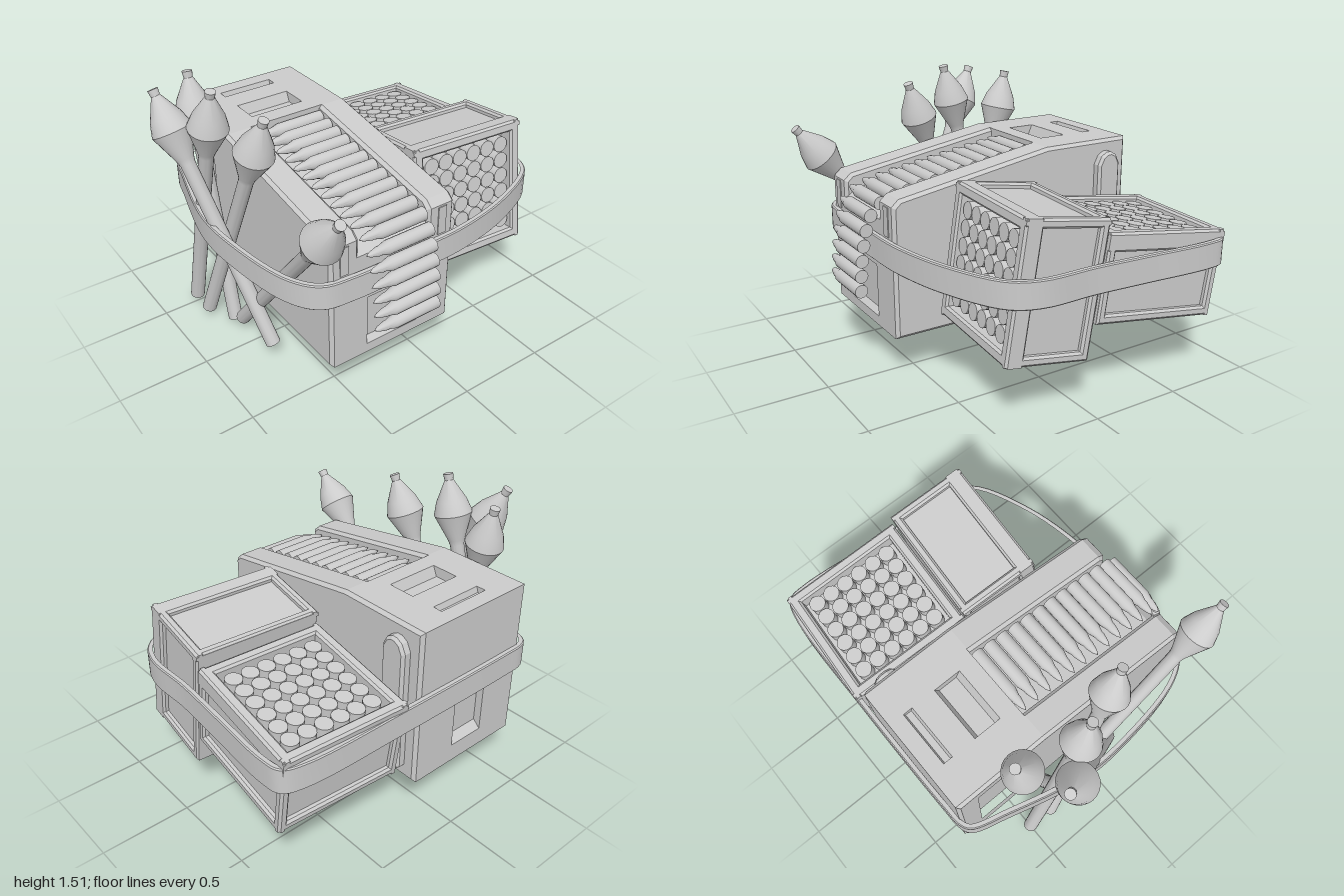
import * as THREE from 'three';
import { toCreasedNormals } from 'three/addons/utils/BufferGeometryUtils.js';

const V3 = (x, y, z) => new THREE.Vector3(x, y, z);
const mat = new THREE.MeshStandardMaterial({ color: 0xcccccc });

function add(parent, name, geometry) {
  const m = new THREE.Mesh(geometry, mat);
  m.name = name;
  parent.add(m);
  return m;
}

function bevelOptions(depth, b) {
  return {
    depth: depth - 2 * b, bevelEnabled: b > 0, bevelSize: b,
    bevelThickness: b, bevelOffset: -b, bevelSegments: 1, curveSegments: 8,
  };
}

// Slab with a side profile of [z, y] points, running from x0 to x1
function slab(profile, x0, x1, bevel = 0, holes = []) {
  const toPts = (list) => list.map(([z, y]) => new THREE.Vector2(-z, y));
  const shape = new THREE.Shape(toPts(profile));
  for (const h of holes) shape.holes.push(new THREE.Path(toPts(h)));
  const g = new THREE.ExtrudeGeometry(shape, bevelOptions(x1 - x0, bevel));
  return g.translate(0, 0, bevel).rotateY(Math.PI / 2).translate(x0, 0, 0);
}

// Turned part: profile of [radius, height] points from bottom to top
function turned(profile, sides) {
  const g = new THREE.LatheGeometry(profile.map(([r, y]) => new THREE.Vector2(r, y)), sides);
  return toCreasedNormals(g, 0.5);
}

function makeBody() {
  const body = new THREE.Group();
  body.name = 'body';
  const top = [[0.657, 0.97], [0.616, 1.007], [-0.296, 1.157], [-0.843, 1.157]];
  const side = [[-0.843, 0.245], [0.657, 0.245], ...top];
  const panel = [[-0.74, 0.38], [-0.44, 0.38], [-0.44, 1.07], [-0.74, 1.07]];

  // Side walls, the right one with a sunken panel
  add(body, 'rightWall', slab(side, -0.62, -0.45, 0.018, [panel]));
  add(body, 'leftWall', slab(side, -0.03, 0.14, 0.018));
  add(body, 'panelFloor', new THREE.BoxGeometry(0.08, 0.74, 0.34)).position.set(-0.53, 0.725, -0.59);

  // Middle, cut across its width into slabs that carry the feed chute and notches
  const front = [[0.657, 0.30], [0.63, 0.33], [0.63, 0.58], [0.657, 0.6]];
  const back = [[-0.843, 0.72], [-0.80, 0.69], [-0.80, 0.39], [-0.843, 0.35]];
  const hatches = [[-0.40, 1.157], [-0.425, 1.10], [-0.535, 1.10], [-0.56, 1.157],
    [-0.70, 1.157], [-0.71, 1.125], [-0.745, 1.125], [-0.755, 1.157]];
  const core = (hasHatch, hasBack) => [
    [-0.843, 0.245], [0.657, 0.245], ...(hasHatch ? front : []),
    [0.657, 0.87], [0.6, 0.92], [-0.3, 1.065], [-0.3, 1.157],
    ...(hasHatch ? hatches : []), [-0.843, 1.157], ...(hasBack ? back : []),
  ];
  const cuts = [-0.47, -0.4, -0.36, -0.14, -0.08, -0.01];
  for (let i = 0; i < 5; i++) {
    add(body, 'middle', slab(core(i > 0 && i < 4, i === 2), cuts[i], cuts[i + 1]));
  }

  // Slim plates on the front ends of the walls
  for (const x of [-0.54, 0.06]) {
    add(body, 'frontPlate', new THREE.BoxGeometry(0.05, 0.16, 0.02)).position.set(x, 0.88, 0.652);
  }

  // Raised L-shaped pad on the left wall
  const pad = [[-0.345, 0.33], [-0.345, 0.42], [-0.62, 0.42], [-0.62, 1.02], [-0.645, 1.07],
    [-0.68, 1.09], [-0.71, 1.09], [-0.745, 1.07], [-0.77, 1.02], [-0.77, 0.33], [-0.75, 0.31], [-0.365, 0.31]];
  add(body, 'sidePad', slab(pad.reverse(), 0.11, 0.19, 0.015));
  return body;
}

// Belt of cartridges lying in the chute and hanging over the front
function makeBelt() {
  const belt = new THREE.Group();
  belt.name = 'cartridgeBelt';
  const path = new THREE.CatmullRomCurve3([
    [-0.265, 1.105], [0.1, 1.05], [0.5, 0.985], [0.62, 0.955], [0.69, 0.893], [0.722, 0.81],
    [0.74, 0.73], [0.752, 0.65], [0.76, 0.565], [0.765, 0.48],
  ].map(([z, y]) => V3(-0.045, y, z)));
  const g = turned([[0, 0], [0.037, 0], [0.037, 0.27], [0.025, 0.31], [0.025, 0.325], [0.014, 0.37], [0, 0.395]], 16);
  g.rotateZ(Math.PI / 2);
  for (const p of path.getSpacedPoints(17)) add(belt, 'cartridge', g).position.copy(p);
  return belt;
}

// Frame plate with a rectangular hole, lying in xy and rising along +z
function framePlate(w, h, border, thick) {
  const rect = (C, x, y) => new C([[-x, -y], [x, -y], [x, y], [-x, y]].map((p) => new THREE.Vector2(...p)));
  const shape = rect(THREE.Shape, w / 2, h / 2);
  shape.holes.push(rect(THREE.Path, w / 2 - border, h / 2 - border));
  return new THREE.ExtrudeGeometry(shape, bevelOptions(thick, 0.012)).translate(0, 0, 0.012 - thick);
}

// Crate with framed sides and an open face of shell ends toward +z
function makeCrate(name) {
  const crate = new THREE.Group();
  crate.name = name;
  const W = 0.72, H = 0.73, D = 0.47, t = 0.045;
  const core = add(crate, 'crateCore', new THREE.BoxGeometry(W - 0.06, H - 0.03, D - 0.09));
  core.position.set(0, -0.015, -0.045);
  add(crate, 'crateBase', new THREE.BoxGeometry(W - 0.02, 0.04, D - 0.02)).position.y = 0.02 - H / 2;
  add(crate, 'crateBack', new THREE.BoxGeometry(W - 0.02, H - 0.02, 0.04)).position.z = 0.02 - D / 2;
  add(crate, 'frontFrame', framePlate(W, H, 0.062, 0.1)).position.z = D / 2;
  add(crate, 'topFrame', framePlate(W, D, 0.05, t).rotateX(-Math.PI / 2)).position.y = H / 2;
  for (const s of [-1, 1]) {
    add(crate, 'sideFrame', framePlate(D, H, 0.05, t).rotateY(s * Math.PI / 2)).position.x = s * W / 2;
  }
  const shell = toCreasedNormals(new THREE.CylinderGeometry(0.046, 0.046, 0.07, 16).rotateX(Math.PI / 2), 0.6);
  for (let i = 0; i < 6; i++) {
    for (let j = 0; j < 6; j++) {
      add(crate, 'shell', shell).position.set((i - 2.5) * 0.095, (j - 2.5) * 0.095, D / 2 - 0.055);
    }
  }
  return crate;
}

// Strap: a closed band around everything, drawn from above and raised
function makeStrap() {
  const curve = new THREE.CatmullRomCurve3([
    [-0.62, -0.85], [-0.5, -0.857], [0.25, -0.857], [0.85, -0.84], [0.96, -0.80], [0.98, -0.70], [0.955, -0.3],
    [0.935, 0], [0.93, 0.3], [0.86, 0.44], [0.55, 0.59], [0.2, 0.665], [-0.1, 0.675], [-0.5, 0.675],
    [-0.66, 0.645], [-0.76, 0.51], [-0.835, 0.1], [-0.835, -0.2], [-0.73, -0.63], [-0.67, -0.82],
  ].map(([x, z]) => V3(x, -z, 0)), true);
  const n = 110, outer = [], inner = [];
  for (let i = 0; i < n; i++) {
    const p = curve.getPoint(i / n), t = curve.getTangent(i / n);
    const off = (d) => new THREE.Vector2(p.x - t.y * d, p.y + t.x * d);
    outer.push(off(0.014));
    inner.push(off(-0.008));
  }
  const shape = new THREE.Shape(outer);
  shape.holes.push(new THREE.Path(inner));
  const g = new THREE.ExtrudeGeometry(shape, bevelOptions(0.145, 0.006));
  return toCreasedNormals(g.translate(0, 0, 0.006).rotateX(-Math.PI / 2).translate(0, 0.645, 0), 0.6);
}

// Rocket: thin tube with a double-cone head, from tail to tip
function makeRocket(tail, tip) {
  const axis = tip.clone().sub(tail), L = axis.length();
  const g = turned([[0, 0], [0.04, 0], [0.04, L - 0.41], [0.048, L - 0.38], [0.108, L - 0.225],
    [0.085, L - 0.15], [0.024, L - 0.035], [0.028, L], [0, L]], 24);
  const m = new THREE.Mesh(g, mat);
  m.name = 'rocket';
  m.position.copy(tail);
  m.quaternion.setFromUnitVectors(V3(0, 1, 0), axis.normalize());
  return m;
}

export function createModel() {
  const model = new THREE.Group();
  model.name = 'ammunitionPack';
  model.add(makeBody(), makeBelt());

  // Two crates on the left: one facing forward, one facing up
  const frontCrate = makeCrate('frontCrate');
  frontCrate.position.set(0.535, 0.676, 0.15);
  frontCrate.rotation.set(-0.148, -0.075, 0, 'YXZ');
  const rearCrate = makeCrate('rearCrate');
  rearCrate.position.set(0.577, 0.645, -0.46);
  rearCrate.rotation.set(-Math.PI / 2 - 0.138, -0.065, 0, 'YXZ');
  model.add(frontCrate, rearCrate);

  add(model, 'strap', makeStrap());

  // Rockets tucked under the strap on the right
  const rockets = [
    [V3(-0.79, 0.06, -0.35), V3(-0.64, 1.44, 0.155)],
    [V3(-0.79, 0.06, -0.5), V3(-0.755, 1.505, -0.145)],
    [V3(-0.69, 0.125, 0.2), V3(-0.93, 1.455, -0.43)],
    [V3(-0.69, 0.015, -0.23), V3(-0.685, 1.45, -0.545)],
    [V3(-0.69, 0.08, -0.13), V3(-0.685, 1.245, 0.84)],
  ];
  for (const [tail, tip] of rockets) model.add(makeRocket(tail, tip));
  return model;
}
